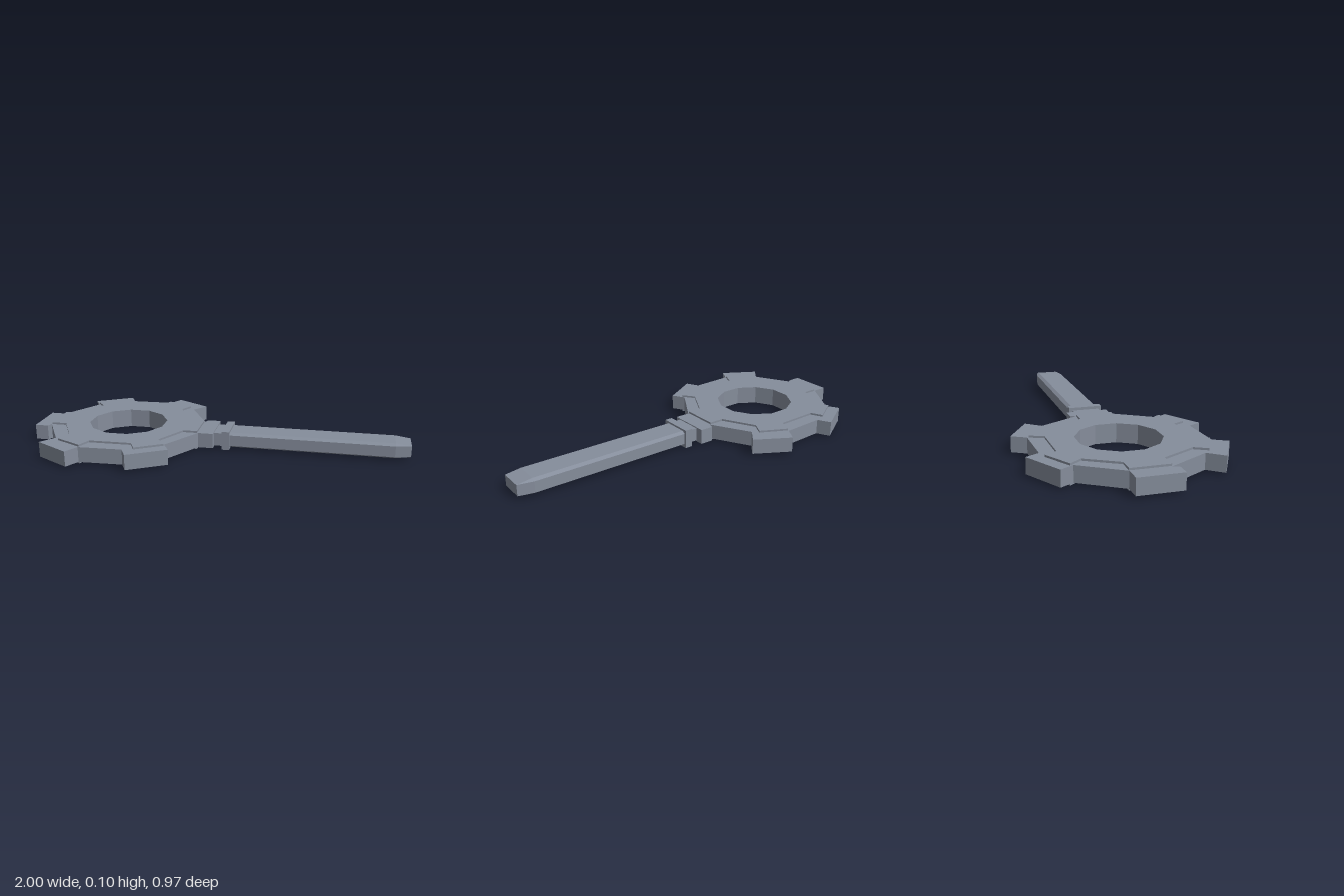
import * as THREE from 'three';

const GEAR_X = -0.51;   // centre of the gear head
const SHAFT_Z = -0.014; // centre line of the shaft
const MID_Y = 0.05;

// Half outlines (x, -z about the gear centre); the other half is a half turn of it.
const TOOTH_OUTLINE = [
  [0.49, -0.09], [0.49, 0.13], [0.42, 0.13], [0.41, 0.10], [0.295, 0.305],
  [0.355, 0.38], [0.173, 0.484], [0.132, 0.412], [-0.095, 0.403],
  [-0.13, 0.47], [-0.32, 0.36], [-0.282, 0.295], [-0.41, 0.09],
];
const FACE_OUTLINE = [
  [0.405, -0.09], [0.405, 0.10], [0.325, 0.10], [0.235, 0.27], [0.27, 0.335],
  [0.13, 0.405], [0.10, 0.335], [-0.12, 0.33], [-0.15, 0.39],
  [-0.285, 0.31], [-0.24, 0.25], [-0.33, 0.09],
];

// Flat toothed plate with a twelve-sided hole
function gearPlate(half, holeRadius, y0, y1) {
  const points = [...half, ...half.map(([x, y]) => [-x, -y])];
  const shape = new THREE.Shape(points.map(([x, y]) => new THREE.Vector2(x, y)));
  const hole = [];
  for (let i = 0; i < 12; i++) {
    const a = -(i + 0.5) * Math.PI / 6;
    hole.push(new THREE.Vector2(Math.cos(a) * holeRadius, Math.sin(a) * holeRadius));
  }
  shape.holes.push(new THREE.Path(hole));
  const geo = new THREE.ExtrudeGeometry(shape, { depth: y1 - y0, bevelEnabled: false });
  return geo.rotateX(-Math.PI / 2).translate(GEAR_X, y0, 0);
}

// Bar along x with chamfered long edges; the far end can be clamped to a smaller block
function chamferedBar(x0, x1, taper) {
  const w = 0.08, h = 0.04, w2 = 0.062, h2 = 0.029;
  const outline = [[w, -h2], [w, h2], [w2, h], [-w2, h], [-w, h2], [-w, -h2], [-w2, -h], [w2, -h]];
  const shape = new THREE.Shape(outline.map(([x, y]) => new THREE.Vector2(x, y)));
  const geo = new THREE.ExtrudeGeometry(shape, { depth: x1 - x0, bevelEnabled: false });
  if (taper) {
    const p = geo.attributes.position;
    for (let i = 0; i < p.count; i++) {
      if (p.getZ(i) < 0.001) continue;
      p.setX(i, THREE.MathUtils.clamp(p.getX(i), -w2, w2));
      p.setY(i, THREE.MathUtils.clamp(p.getY(i), -h2, h2));
    }
    geo.computeVertexNormals();
  }
  return geo.rotateY(Math.PI / 2).translate(x0, MID_Y, SHAFT_Z);
}

function block(x0, x1, height, depth) {
  return new THREE.BoxGeometry(x1 - x0, height, depth).translate((x0 + x1) / 2, MID_Y, SHAFT_Z);
}

export function createModel() {
  const steel = new THREE.MeshStandardMaterial({ color: 0x858d9b, flatShading: true });
  steel.name = 'steel';
  const model = new THREE.Group();
  model.name = 'gearKey';
  const add = (name, geo) => {
    const mesh = new THREE.Mesh(geo, steel);
    mesh.name = name;
    model.add(mesh);
  };

  // Gear head: toothed ring with a slightly thicker, inset core
  add('gearTeeth', gearPlate(TOOTH_OUTLINE, 0.215, 0.01, 0.09));
  add('gearCore', gearPlate(FACE_OUTLINE, 0.211, 0, 0.1));

  // Shaft with neck, collar and tapered tip
  add('neck', block(-0.1, 0.045, 0.07, 0.145));
  add('collar', block(0.025, 0.065, 0.1, 0.18));
  add('shaft', chamferedBar(0.045, 0.92, false));
  add('tip', chamferedBar(0.92, 1, true));
  return model;
}
